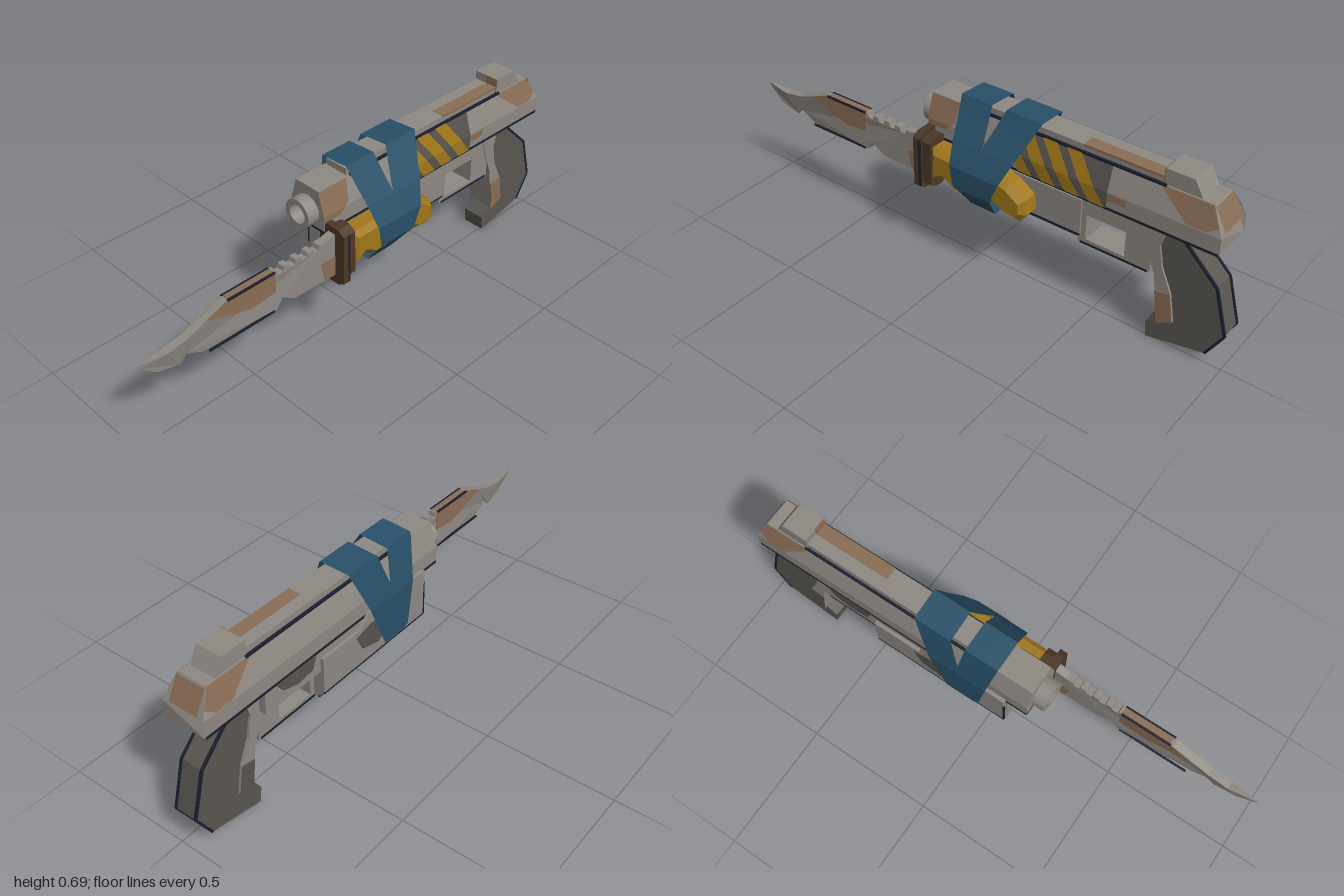
import * as THREE from 'three';

const mat = (name, color, both = false) => {
  const m = new THREE.MeshStandardMaterial({ color, flatShading: true });
  m.name = name;
  if (both) m.side = THREE.DoubleSide;
  return m;
};

const CX = -0.0355; // centre line of the gun

export function createModel() {
  const root = new THREE.Group();
  const grey = mat('bodyGrey', 0x8f8983);
  const tan = mat('camoTan', 0x8a6d55, true);
  const dark = mat('camoDark', 0x57534f, true);
  const gripDark = mat('gripGrey', 0x5a5650);
  const navy = mat('edgeNavy', 0x1c1f2e);
  const yellow = mat('ochre', 0xa0771a, true);
  const blue = mat('strapBlue', 0x285068, true);
  const brown = mat('guardBrown', 0x4d3727);

  const add = (name, geo, m) => {
    const mesh = new THREE.Mesh(geo, m);
    mesh.name = name;
    root.add(mesh);
    return mesh;
  };
  const box = (name, m, x0, x1, y0, y1, z0, z1) =>
    add(name, new THREE.BoxGeometry(x1 - x0, y1 - y0, z1 - z0), m)
      .position.set((x0 + x1) / 2, (y0 + y1) / 2, (z0 + z1) / 2);
  // Side outline [z, y] extruded from x0 to x1
  const outline = (pts) => pts.map(([z, y]) => new THREE.Vector2(-z, y));
  const sideGeo = (pts, x0, x1, bevel = 0, hole = null) => {
    const s = new THREE.Shape(outline(pts));
    if (hole) s.holes.push(new THREE.Path(outline(hole)));
    const g = new THREE.ExtrudeGeometry(s, {
      depth: x1 - x0 - 2 * bevel, bevelEnabled: bevel > 0, bevelSize: bevel,
      bevelThickness: bevel, bevelOffset: -bevel, bevelSegments: 1,
    });
    return g.translate(0, 0, x0 + bevel).rotateY(Math.PI / 2);
  };
  // Front outline [x, y] extruded from z0 to z1
  const frontGeo = (pts, z0, z1) =>
    new THREE.ExtrudeGeometry(new THREE.Shape(pts.map((p) => new THREE.Vector2(...p))),
      { depth: z1 - z0, bevelEnabled: false }).translate(0, 0, z0);
  // Thin dark line along an edge
  const edge = (name, a, b, t = 0.009) => {
    const A = new THREE.Vector3(...a), B = new THREE.Vector3(...b);
    const m = add(name, new THREE.BoxGeometry(t, t, A.distanceTo(B)), navy);
    m.position.copy(A).lerp(B, 0.5);
    m.lookAt(B);
  };

  // Slide with a sloped rear
  const slide = frontGeo([[-0.118, 0.482], [0.047, 0.482], [0.047, 0.545], [0.0195, 0.637],
    [-0.0905, 0.637], [-0.118, 0.545]], -0.953, 0.195);
  const sp = slide.attributes.position;
  for (let i = 0; i < sp.count; i++) if (sp.getZ(i) < -0.9 && sp.getY(i) > 0.6) sp.setZ(i, -0.905);
  slide.computeVertexNormals();
  add('slide', slide, grey);

  // Painted patches that follow the slanted slide sides
  const clip = (pts, f) => pts.flatMap((p, i) => {
    const q = pts[(i + 1) % pts.length], a = f(p), b = f(q), out = a >= 0 ? [p] : [];
    if (a * b < 0) out.push(p.map((v, k) => v + (q[k] - v) * a / (a - b)));
    return out;
  });
  const slidePatch = (name, m, pts, side, off = 0.002) => {
    for (const f of [(p) => p[1] - 0.545, (p) => 0.545 - p[1]]) {
      const poly = clip(pts, f), v = [];
      if (poly.length < 3) continue;
      const at = ([z, y]) => [CX + side * (0.0825 + off - Math.max(0, y - 0.545) * 0.299), y, z];
      for (let i = 1; i < poly.length - 1; i++) v.push(...at(poly[0]), ...at(poly[i]), ...at(poly[i + 1]));
      const g = new THREE.BufferGeometry();
      g.setAttribute('position', new THREE.Float32BufferAttribute(v, 3));
      g.computeVertexNormals();
      add(name, g, m);
    }
  };
  for (const s of [1, -1]) {
    slidePatch('rearCamo', tan, [[-0.72, 0.636], [-0.904, 0.636], [-0.938, 0.575], [-0.9, 0.55],
      [-0.83, 0.55], [-0.77, 0.6]], s);
  }
  slidePatch('frontCamo', tan, [[0.195, 0.636], [0.07, 0.636], [0.08, 0.56], [0.12, 0.525], [0.195, 0.52]], 1);
  slidePatch('midCamo', tan, [[-0.55, 0.54], [-0.62, 0.54], [-0.62, 0.515], [-0.55, 0.515]], 1);
  slidePatch('hazardPanel', dark, [[-0.19, 0.636], [-0.55, 0.636], [-0.55, 0.484], [-0.19, 0.484]], 1);
  for (let i = 0; i < 4; i++) {
    const s = -0.09 - i * 0.095;
    slidePatch('hazardStripe', yellow, clip([[s, 0.636], [s - 0.058, 0.636], [s - 0.168, 0.484],
      [s - 0.11, 0.484]], (p) => -0.19 - p[0]), 1, 0.004);
  }
  add('rearSlopeCamo', new THREE.PlaneGeometry(0.115, 0.09), tan).position.set(CX, 0.593, -0.932);
  root.children.at(-1).rotation.x = 0.48;

  // Slide edge lines
  for (const s of [1, -1]) {
    edge('slideLowerEdge', [CX + s * 0.08, 0.483, 0.194], [CX + s * 0.08, 0.483, -0.95]);
    edge('slideUpperEdge', [CX + s * 0.054, 0.637, 0.05], [CX + s * 0.054, 0.637, -0.74]);
  }
  edge('slideFrontEdge', [-0.117, 0.482, 0.192], [0.046, 0.482, 0.192], 0.008);

  // Muzzle ring
  const ring = new THREE.Shape().absarc(0, 0, 0.057, 0, Math.PI * 2);
  ring.holes.push(new THREE.Path().absarc(0, 0, 0.037, 0, Math.PI * 2));
  add('muzzle', new THREE.ExtrudeGeometry(ring, { depth: 0.08, bevelEnabled: false, curveSegments: 12 }), grey)
    .position.set(CX, 0.543, 0.163);

  // Top rail and rear sight
  box('topRail', grey, -0.083, 0.012, 0.63, 0.662, -0.74, 0.06);
  box('railCamo', tan, CX, 0.013, 0.655, 0.664, -0.74, -0.43);
  const sight = [[-0.73, 0.63], [-0.73, 0.695], [-0.83, 0.695], [-0.868, 0.63]];
  add('rearSight', sideGeo(sight, -0.087, 0.015), grey);
  box('sightCamo', tan, CX, 0.0155, 0.638, 0.695, -0.731, -0.727);

  // Frame
  box('upperFrame', grey, -0.118, 0.014, 0.395, 0.485, -0.7, 0.115);
  add('lowerFrame', frontGeo([[-0.107, 0.281], [-0.005, 0.281], [0.021, 0.31], [0.021, 0.45],
    [-0.131, 0.45], [-0.131, 0.31]], -0.44, 0.11), grey);
  add('leftPanel', sideGeo([[0.11, 0.44], [0.11, 0.495], [-0.2, 0.495], [-0.26, 0.44]], -0.132, -0.11), grey);
  for (const x of [-0.129, 0.019]) {
    edge('frameChamferEdge', [x, 0.309, 0.11], [x, 0.309, -0.44], 0.006);
    edge('frameFrontEdge', [x, 0.31, 0.109], [x, 0.45, 0.109], 0.006);
  }
  for (const x of [-0.106, -0.006]) edge('frameBottomEdge', [x, 0.283, 0.11], [x, 0.283, -0.44], 0.007);
  edge('frameFrontLine', [-0.118, 0.395, 0.111], [0.02, 0.395, 0.111], 0.006);
  add('leftCamo', sideGeo([[-0.04, 0.45], [-0.08, 0.38], [-0.16, 0.35], [-0.24, 0.37], [-0.27, 0.43],
    [-0.2, 0.45]], -0.134, -0.129), dark);
  add('leftCamoRear', sideGeo([[-0.46, 0.48], [-0.48, 0.43], [-0.55, 0.42], [-0.62, 0.44], [-0.65, 0.48]],
    -0.121, -0.116), dark);
  box('bottomCamo', dark, -0.1, -0.03, 0.279, 0.283, -0.02, 0.07);

  // Trigger guard
  add('triggerGuard', sideGeo([[-0.43, 0.275], [-0.71, 0.275], [-0.71, 0.47], [-0.67, 0.46], [-0.61, 0.405],
    [-0.43, 0.405]], -0.086, 0.014, 0, [[-0.46, 0.295], [-0.46, 0.398], [-0.612, 0.398], [-0.612, 0.295]]), grey);
  for (const x of [-0.084, 0.012]) edge('guardEdge', [x, 0.278, -0.44], [x, 0.278, -0.7], 0.008);

  // Grip and its front strap
  const back = [[-0.8, 0.47], [-0.948, 0.326], [-0.997, 0.15], [-0.938, 0.048], [-0.72, 0.003]];
  add('grip', sideGeo([[-0.7, 0.48], ...back, [-0.712, 0.064], [-0.765, 0.105], [-0.74, 0.28]],
    -0.08, 0.009), gripDark);
  const strip = [[-0.67, 0.475], [-0.69, 0.38], [-0.73, 0.28], [-0.756, 0.09], [-0.815, 0.118],
    [-0.795, 0.23], [-0.755, 0.32], [-0.74, 0.4], [-0.76, 0.475]];
  add('gripFront', sideGeo(strip, -0.09, 0.017), grey);
  for (const s of [1, -1]) {
    const x = CX + s * 0.054;
    add('gripCamo', sideGeo([[-0.739, 0.22], [-0.757, 0.09], [-0.815, 0.118], [-0.795, 0.23]],
      x - 0.002, x + 0.002), s > 0 ? tan : dark);
    for (let i = 0; i < 3; i++) {
      edge('gripBackEdge', [CX + s * 0.042, back[i][1], back[i][0]],
        [CX + s * 0.042, back[i + 1][1], back[i + 1][0]]);
    }
  }

  // Knife blade with a saw-toothed spine, thinned toward the tip
  const teeth = [];
  for (let i = 0; i < 4; i++) {
    const z = 0.45 - i * 0.052;
    teeth.push([z, 0.49], [z - 0.004, 0.473], [z - 0.026, 0.473], [z - 0.03, 0.49]);
  }
  const blade = sideGeo([[0.998, 0.428], [0.89, 0.42], [0.81, 0.432], [0.74, 0.457], [0.663, 0.488], ...teeth,
    [0.235, 0.49], [0.18, 0.503], [0.18, 0.328], [0.38, 0.335], [0.433, 0.369], [0.46, 0.332], [0.754, 0.33],
    [0.818, 0.363], [0.845, 0.337], [0.93, 0.36], [0.985, 0.41]], -0.016, 0.016);
  const bp = blade.attributes.position;
  for (let i = 0; i < bp.count; i++) {
    const z = bp.getZ(i), low = z > 0.75 && bp.getY(i) < 0.415;
    bp.setX(i, bp.getX(i) * (low ? 0.15 : z > 0.95 ? 0.08 : 1));
  }
  blade.translate(0.078, 0, 0).computeVertexNormals();
  add('blade', blade, grey);
  for (const s of [1, -1]) {
    const x = 0.078 + s * 0.0155, a = x - 0.002, b = x + 0.002;
    add('bladeCamo', sideGeo([[0.74, 0.457], [0.663, 0.488], [0.46, 0.488], [0.46, 0.41], [0.56, 0.4],
      [0.65, 0.425]], a, b), tan);
    add('bladeCamoSmall', sideGeo([[0.26, 0.41], [0.19, 0.41], [0.19, 0.332], [0.24, 0.333]], a, b), tan);
    edge('spineEdge', [x, 0.488, 0.655], [x, 0.488, 0.46], 0.007);
    edge('cuttingEdge', [x, 0.333, 0.74], [x, 0.333, 0.47], 0.007);
  }
  box('spineCamo', tan, 0.063, 0.093, 0.486, 0.4905, 0.46, 0.65);

  // Knife guard: two chamfered plates
  const plate = (inset) => {
    const x0 = 0.02 + inset, x1 = 0.137 - inset, y0 = 0.293 + inset, y1 = 0.525 - inset, c = 0.028;
    return [[x0 + c, y0], [x1 - c, y0], [x1, y0 + c * 0.6], [x1, y1 - c * 0.6], [x1 - c, y1], [x0 + c, y1],
      [x0, y1 - c * 0.6], [x0, y0 + c * 0.6]];
  };
  add('knifeGuardFront', frontGeo(plate(0), 0.165, 0.193), brown);
  add('knifeGuardBack', frontGeo(plate(0.014), 0.126, 0.165), brown);
  edge('knifeGuardEdge', [0.134, 0.312, 0.167], [0.134, 0.506, 0.167], 0.008);

  // Knife handle with finger grooves
  add('knifeHandle', sideGeo([[0.13, 0.478], [-0.155, 0.478], [-0.21, 0.462], [-0.273, 0.42], [-0.28, 0.364],
    [-0.25, 0.328], [-0.19, 0.338], [-0.14, 0.362], [-0.075, 0.337], [0.03, 0.34], [0.075, 0.368],
    [0.13, 0.342]], 0.03, 0.126, 0.02), yellow);

  // Two straps around gun and knife, meeting underneath
  const loop = [[-0.1, 0.668], [0.018, 0.676], [0.05, 0.62], [0.1, 0.54], [0.14, 0.46], [0.14, 0.38],
    [0.06, 0.273], [-0.1, 0.273], [-0.139, 0.33], [-0.136, 0.5]];
  const strap = (name, front, rear, grow) => {
    const v = [], idx = [], n = loop.length;
    for (const [x, y] of loop) {
      const u = THREE.MathUtils.clamp((y - 0.3) / 0.375, 0, 1), k = 1 + grow;
      for (const [lo, hi] of [front, rear]) v.push(x * k, 0.47 + (y - 0.47) * k, lo + (hi - lo) * u);
    }
    for (let i = 0; i < n; i++) {
      const a = 2 * i, b = 2 * ((i + 1) % n);
      idx.push(a, a + 1, b, b, a + 1, b + 1);
    }
    const g = new THREE.BufferGeometry();
    g.setAttribute('position', new THREE.Float32BufferAttribute(v, 3));
    g.setIndex(idx);
    g.computeVertexNormals();
    add(name, g, blue);
  };
  strap('frontStrap', [0, 0.065], [-0.115, -0.065], 0);
  strap('rearStrap', [0, -0.125], [-0.115, -0.272], 0.012);

  return root;
}
